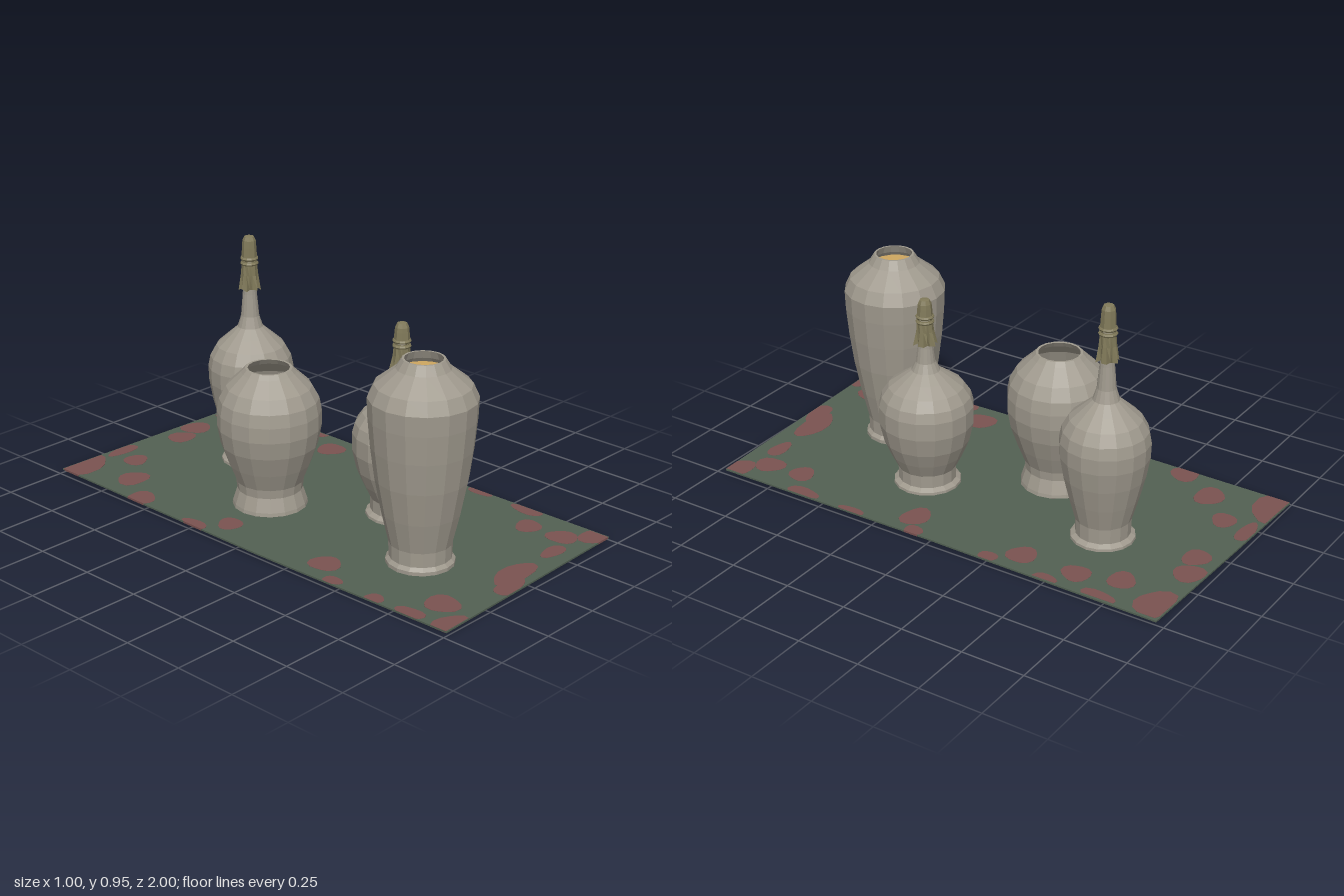
import * as THREE from 'three';
import { mergeGeometries } from 'three/addons/utils/BufferGeometryUtils.js';

const V = (r, y) => new THREE.Vector2(r, y);

export function createModel() {
  const root = new THREE.Group();
  const mat = (name, color, extra = {}) => {
    const m = new THREE.MeshStandardMaterial({ color, flatShading: true, ...extra });
    m.name = name;
    return m;
  };
  const clay = mat('grey clay', 0xa09a8e);
  const cloth = mat('olive cloth', 0x817a5a, { side: THREE.DoubleSide });
  const grain = mat('golden contents', 0xc6a05c);
  const green = mat('rug green', 0x526052);
  const red = mat('rug red', 0x7a5250);

  const add = (parent, name, geo, material, y = 0) => {
    const mesh = new THREE.Mesh(geo, material);
    mesh.name = name;
    mesh.position.y = y;
    parent.add(mesh);
    return mesh;
  };

  // Rug: a slightly uneven rectangle, as [x, z] corners
  const TOP = 0.0175, THICK = 0.0065;
  const slab = (pts, depth, top) => {
    const geo = new THREE.ExtrudeGeometry(new THREE.Shape(pts), { depth, bevelEnabled: false });
    geo.rotateX(Math.PI / 2).translate(0, top, 0);
    return geo;
  };
  const outline = [[-0.485, -1], [0.5, -0.97], [0.486, 0], [0.492, 0.965], [-0.485, 1], [-0.5, 0.1]];
  add(root, 'rug', slab(outline.map(([x, z]) => V(x, z)), THICK, TOP), green);

  // Rug spots: wobbly blobs held inside the rug edge, as [x, z, rx, rz]
  const spots = [
    [-0.36, -0.72, 0.065, 0.06], [-0.23, -0.85, 0.05, 0.05], [-0.42, -0.96, 0.13, 0.07],
    [-0.2, -0.96, 0.08, 0.03], [0.06, -0.89, 0.06, 0.05], [0.17, -0.92, 0.06, 0.06],
    [0.41, -0.92, 0.09, 0.08], [0.34, -0.74, 0.055, 0.055], [0.48, -0.72, 0.04, 0.07],
    [0.39, -0.58, 0.055, 0.055], [0.39, -0.35, 0.06, 0.055], [0.48, -0.5, 0.03, 0.05],
    [0.47, -0.25, 0.035, 0.04], [-0.46, -0.56, 0.055, 0.06], [-0.39, -0.14, 0.05, 0.05],
    [-0.48, -0.24, 0.03, 0.06], [-0.39, 0.35, 0.06, 0.06], [-0.47, 0.46, 0.03, 0.04],
    [0.38, 0.13, 0.065, 0.055], [0.47, 0.08, 0.035, 0.04], [0.48, 0.36, 0.025, 0.06],
    [0.36, 0.69, 0.055, 0.05], [0.47, 0.6, 0.035, 0.07], [0.37, 0.84, 0.055, 0.06],
    [0.46, 0.93, 0.07, 0.06], [0.25, 0.89, 0.06, 0.035], [0.01, 0.9, 0.11, 0.055],
    [-0.08, 0.95, 0.08, 0.04], [-0.34, 0.86, 0.065, 0.065], [-0.47, 0.82, 0.04, 0.06],
    [-0.44, 0.97, 0.08, 0.05], [-0.47, 0.66, 0.03, 0.04],
  ];
  const blob = ([cx, cz, rx, rz], k) => {
    const pts = [];
    for (let i = 0; i < 14; i++) {
      const a = (i / 14) * Math.PI * 2;
      const w = 1 + 0.08 * Math.sin(3 * a + k * 1.7) + 0.06 * Math.cos(2 * a + k);
      const z0 = cz + rz * w * Math.sin(a);
      const left = -0.499 + 0.014 * Math.abs(z0);
      const x = THREE.MathUtils.clamp(cx + rx * w * Math.cos(a), left, 0.487);
      const edge = 0.983 - 0.032 * x;
      pts.push(V(x, THREE.MathUtils.clamp(z0, -edge + 0.002, edge - 0.002)));
    }
    return slab(pts, THICK + 0.0014, TOP + 0.0007);
  };
  add(root, 'rugSpots', mergeGeometries(spots.map(blob)), red);

  // Vessels: lathed profiles of [radius, height]
  const vessel = (name, x, z, profile) => {
    const g = new THREE.Group();
    g.name = name;
    g.position.set(x, 0, z);
    root.add(g);
    add(g, 'body', new THREE.LatheGeometry(profile.map(([r, y]) => V(r, y)), 16), clay);
    return g;
  };
  const contents = (g, r, y) =>
    add(g, 'contents', new THREE.LatheGeometry([V(r, y), V(0, y - 0.025)], 16), grain);

  const tallJar = vessel('tallOpenJar', -0.138, 0.585, [
    [0, 0.001], [0.11, 0.0095], [0.128, 0.018], [0.128, 0.032], [0.116, 0.045], [0.117, 0.1],
    [0.145, 0.22], [0.17, 0.35], [0.186, 0.47], [0.196, 0.58], [0.199, 0.655], [0.176, 0.705],
    [0.1, 0.765], [0.078, 0.8], [0.07, 0.8], [0.082, 0.77], [0.1, 0.745], [0.1, 0.73]]);
  contents(tallJar, 0.1, 0.755);

  const squatJar = vessel('squatOpenJar', -0.145, -0.17, [
    [0, 0], [0.135, 0.0095], [0.145, 0.018], [0.143, 0.032], [0.126, 0.085], [0.13, 0.12],
    [0.158, 0.19], [0.186, 0.27], [0.199, 0.34], [0.199, 0.4], [0.19, 0.45], [0.163, 0.5],
    [0.105, 0.555], [0.09, 0.572], [0.08, 0.572], [0.095, 0.55], [0.15, 0.5], [0.18, 0.42],
    [0.18, 0.33], [0.14, 0.2], [0.12, 0.1]]);
  contents(squatJar, 0.15, 0.2);

  const smallBottle = vessel('smallBottle', 0.122, 0.257, [
    [0, 0.016], [0.131, 0.016], [0.13, 0.028], [0.112, 0.04], [0.113, 0.09], [0.14, 0.145],
    [0.165, 0.205], [0.182, 0.28], [0.183, 0.35], [0.172, 0.39], [0.145, 0.43], [0.098, 0.465],
    [0.055, 0.495], [0.038, 0.53], [0.03, 0.59], [0.024, 0.69], [0, 0.69]]);

  const tallBottle = vessel('tallBottle', 0.11, -0.525, [
    [0, 0.016], [0.123, 0.016], [0.122, 0.028], [0.104, 0.04], [0.106, 0.1], [0.131, 0.19],
    [0.153, 0.28], [0.167, 0.36], [0.169, 0.42], [0.16, 0.465], [0.135, 0.51], [0.09, 0.55],
    [0.05, 0.585], [0.036, 0.63], [0.028, 0.72], [0.022, 0.84], [0, 0.84]]);

  // Tied cloth stopper: wrapped cap, two cords, pleated ragged skirt
  const stopper = (g, y, drop, flare, capHeight) => {
    const s = new THREE.Group();
    s.name = 'clothStopper';
    s.position.y = y;
    g.add(s);
    add(s, 'cap', new THREE.LatheGeometry([
      V(0.031, -0.005), V(0.028, capHeight * 0.5), V(0.026, capHeight - 0.018),
      V(0.019, capHeight - 0.002), V(0, capHeight)], 8), cloth);
    for (const h of [0, -0.02]) {
      const cord = new THREE.TorusGeometry(0.029, 0.007, 6, 12).rotateX(Math.PI / 2);
      add(s, 'cord', cord, cloth, h);
    }
    const skirt = new THREE.LatheGeometry(
      [V(flare, -drop), V(0.034, -drop * 0.5), V(0.029, -0.01)], 16);
    const p = skirt.attributes.position;
    for (let i = 0; i < p.count; i++) {
      const fold = Math.floor(i / 3) % 16;
      const t = -p.getY(i) / drop;
      const k = fold % 2 ? 1 - 0.32 * t : 1;
      p.setX(i, p.getX(i) * k);
      p.setZ(i, p.getZ(i) * k);
      if (i % 3 === 0) p.setY(i, p.getY(i) + 0.016 * (0.5 + 0.5 * Math.sin(fold * 2.3)));
    }
    skirt.computeVertexNormals();
    add(s, 'skirt', skirt, cloth);
  };
  stopper(smallBottle, 0.715, 0.118, 0.047, 0.07);
  stopper(tallBottle, 0.865, 0.132, 0.044, 0.09);

  return root;
}
